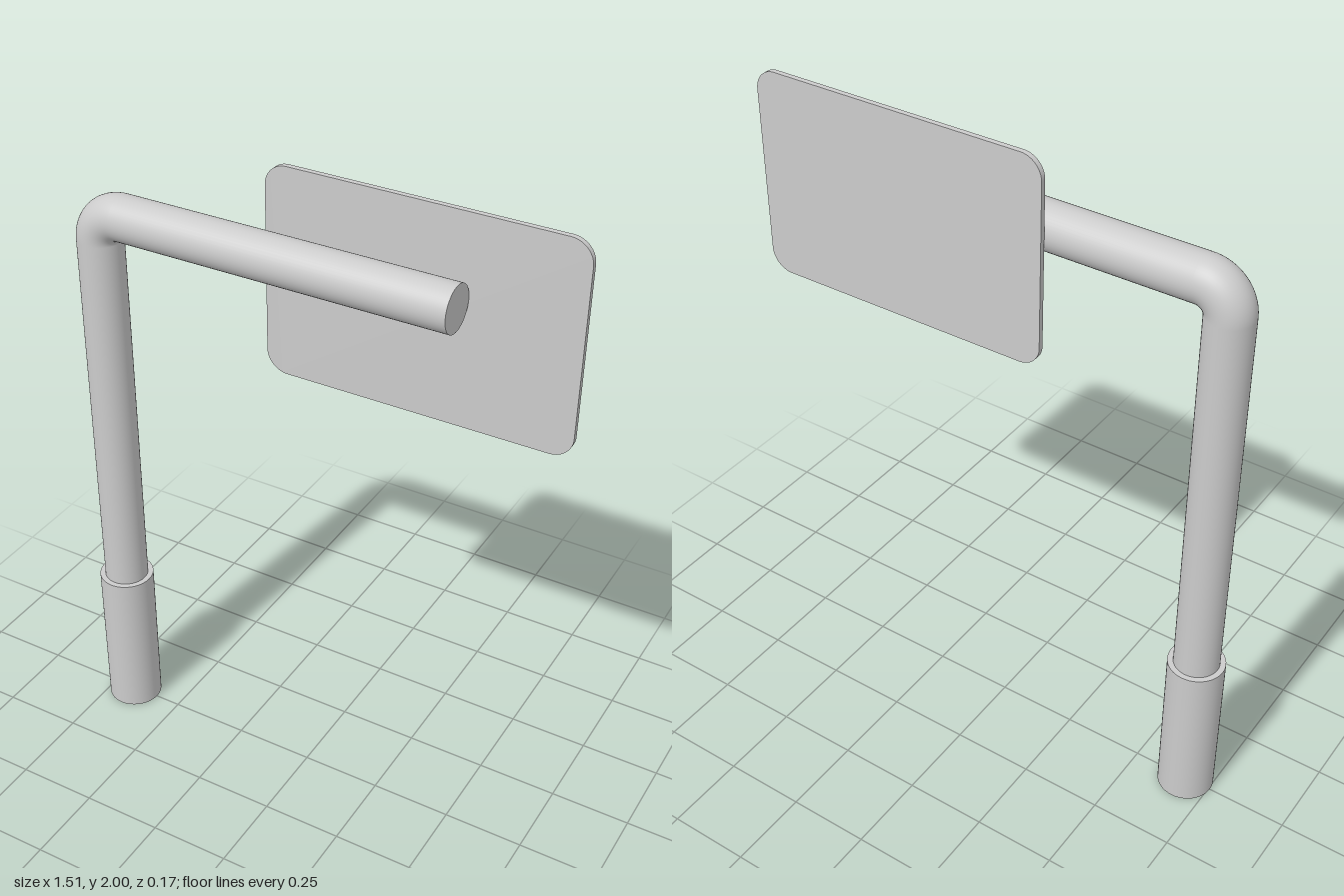
import * as THREE from 'three';

const R = 0.068;        // pipe radius
const POST_X = -0.67;
const ARM_Y = 1.765;
const ARM_END = 0.435;
const BEND = 0.08;      // centreline radius of the elbow
const SEG = 48;

export function createModel() {
  const group = new THREE.Group();
  const material = new THREE.MeshStandardMaterial({ color: 0xcccccc });

  const add = (name, geometry, x, y, z = 0) => {
    const mesh = new THREE.Mesh(geometry, material);
    mesh.name = name;
    mesh.position.set(x, y, z);
    group.add(mesh);
    return mesh;
  };

  // Hollow ground socket; repeated corners keep the rims sharp
  const corners = [[R, 0], [0.085, 0], [0.085, 0.5], [R, 0.5], [R, 0]];
  const profile = [];
  for (let i = 0; i < corners.length - 1; i++) {
    profile.push(new THREE.Vector2(...corners[i]), new THREE.Vector2(...corners[i + 1]));
  }
  add('socket', new THREE.LatheGeometry(profile, SEG), POST_X, 0);

  // Upright post, seated inside the socket
  const postBottom = 0.4, postTop = ARM_Y - BEND;
  add('post', new THREE.CylinderGeometry(R, R, postTop - postBottom, SEG),
    POST_X, (postBottom + postTop) / 2);

  // Quarter-turn elbow
  const elbow = new THREE.TorusGeometry(BEND, R, SEG, 20, Math.PI / 2);
  elbow.rotateZ(Math.PI / 2);
  add('elbow', elbow, POST_X + BEND, postTop);

  // Horizontal arm
  const armStart = POST_X + BEND;
  const arm = new THREE.CylinderGeometry(R, R, ARM_END - armStart, SEG);
  arm.rotateZ(-Math.PI / 2);
  add('arm', arm, (armStart + ARM_END) / 2, ARM_Y);

  // Thin sign panel with rounded corners, fixed behind the arm
  const w = 0.922 / 2, h = 0.625 / 2, r = 0.065;
  const shape = new THREE.Shape();
  shape.absarc(w - r, h - r, r, 0, Math.PI / 2);
  shape.absarc(-w + r, h - r, r, Math.PI / 2, Math.PI);
  shape.absarc(-w + r, -h + r, r, Math.PI, Math.PI * 1.5);
  shape.absarc(w - r, -h + r, r, Math.PI * 1.5, Math.PI * 2);
  const panel = new THREE.ExtrudeGeometry(shape, { depth: 0.016, bevelEnabled: false, curveSegments: 12 });
  add('signPanel', panel, 0.293, 2 - h, -0.085);

  return group;
}
